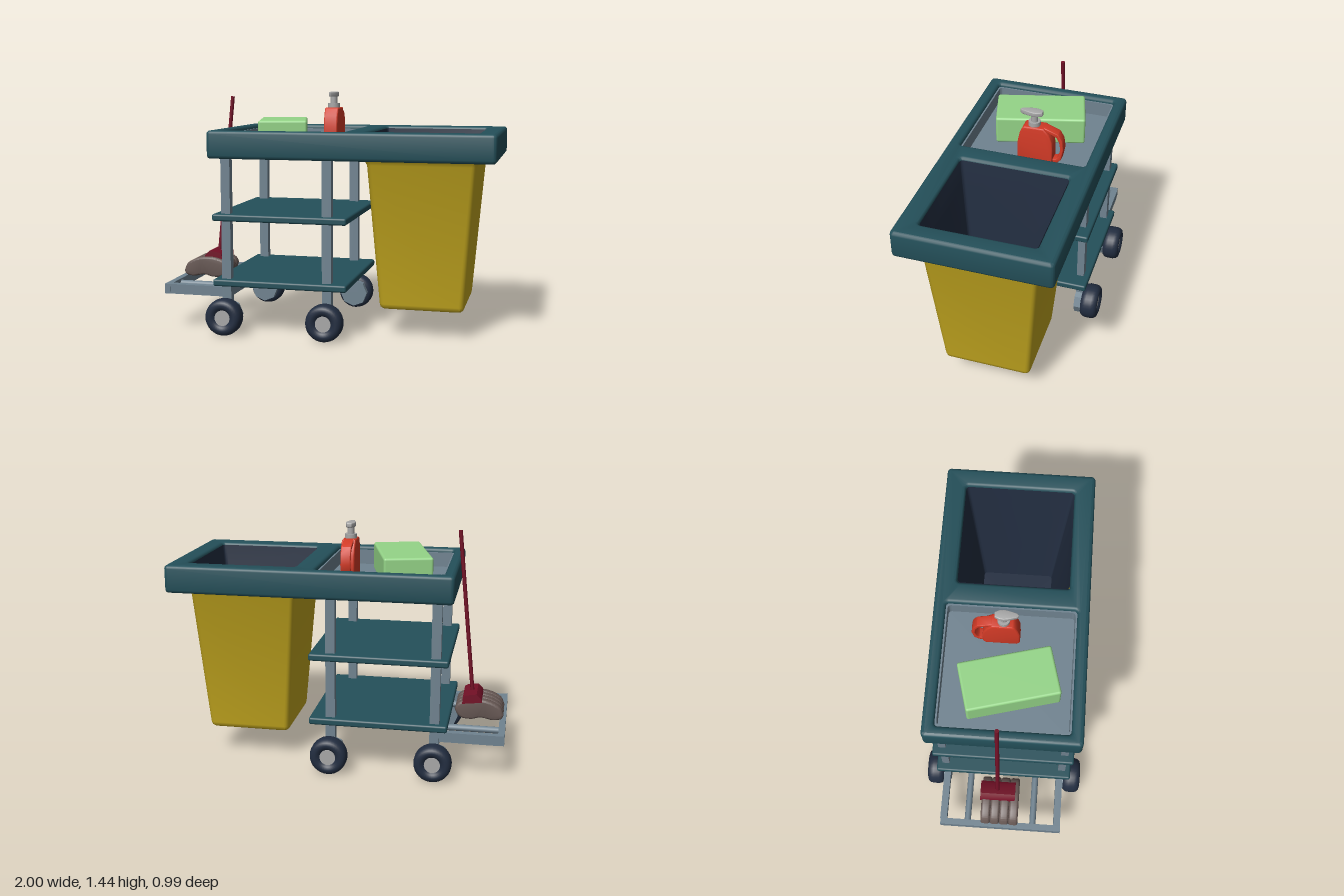
import * as THREE from 'three';
import { toCreasedNormals } from 'three/addons/utils/BufferGeometryUtils.js';
import { RoundedBoxGeometry } from 'three/addons/geometries/RoundedBoxGeometry.js';

const mat = (name, color, side = THREE.FrontSide) => {
  const m = new THREE.MeshStandardMaterial({ color, side });
  m.name = name;
  return m;
};

// Rounded rectangle outline centred on (cx, cy)
function roundRect(Type, cx, cy, w, h, r) {
  const s = new Type(), a = w / 2 - r, b = h / 2 - r;
  s.absarc(cx + a, cy + b, r, 0, Math.PI / 2);
  s.absarc(cx - a, cy + b, r, Math.PI / 2, Math.PI);
  s.absarc(cx - a, cy - b, r, Math.PI, Math.PI * 1.5);
  s.absarc(cx + a, cy - b, r, Math.PI * 1.5, Math.PI * 2);
  s.closePath();
  return s;
}

// Extrusion whose bevel stays inside the outline
function extrude(shape, depth, bevel, curveSegments = 4) {
  const g = new THREE.ExtrudeGeometry(shape, {
    depth: depth - 2 * bevel, bevelEnabled: bevel > 0, bevelSize: bevel,
    bevelThickness: bevel, bevelOffset: -bevel, bevelSegments: 3, curveSegments,
  });
  g.translate(0, 0, bevel);
  return toCreasedNormals(g, 0.7);
}
const polygon = (pts) => new THREE.Shape(pts.map((p) => new THREE.Vector2(...p)));

// Tub from stacked rounded rectangles: rows of [y, half width, half depth, corner]
function tub(rings, cx) {
  const pos = [], idx = [];
  let n = 0;
  rings.forEach(([y, hw, hd, r]) => {
    const pts = [];
    for (let q = 0; q < 4; q++) for (let k = 0; k <= 4; k++) {
      const t = (q + k / 4) * Math.PI / 2;
      const sx = q === 0 || q === 3 ? 1 : -1, sz = q < 2 ? 1 : -1;
      pts.push([cx + sx * (hw - r) + r * Math.cos(t), y, sz * (hd - r) + r * Math.sin(t)]);
    }
    n = pts.length;
    pos.push(...pts.flat());
  });
  for (let i = 0; i < rings.length - 1; i++) for (let j = 0; j < n; j++) {
    const a = i * n + j, b = i * n + (j + 1) % n;
    idx.push(a, b, a + n, b, b + n, a + n);
  }
  const last = (rings.length - 1) * n, c = rings.length * n;
  pos.push(cx, rings[rings.length - 1][0], 0);
  for (let j = 0; j < n; j++) idx.push(last + j, last + (j + 1) % n, c);
  const g = new THREE.BufferGeometry();
  g.setAttribute('position', new THREE.Float32BufferAttribute(pos, 3));
  g.setIndex(idx);
  return toCreasedNormals(g, 0.7);
}

export function createModel() {
  const teal = mat('teal plastic', 0x24505a);
  const steel = mat('steel', 0x708390);
  const yellow = mat('yellow plastic', 0xc8ab20, THREE.DoubleSide);
  const navy = mat('dark rubber', 0x222d40, THREE.DoubleSide);
  const pale = mat('pale metal', 0xa8a8a8);
  const green = mat('green sponge', 0x95d588);
  const red = mat('red plastic', 0xd23a26);
  const maroon = mat('maroon', 0x731026);
  const brown = mat('mop brown', 0x675854);

  const model = new THREE.Group();
  const add = (name, geo, material, x = 0, y = 0, z = 0, parent = model) => {
    const m = new THREE.Mesh(geo, material);
    m.name = name;
    m.position.set(x, y, z);
    parent.add(m);
    return m;
  };
  const box = (name, m, x0, x1, y0, y1, z0, z1) => add(name,
    new THREE.BoxGeometry(x1 - x0, y1 - y0, z1 - z0), m, (x0 + x1) / 2, (y0 + y1) / 2, (z0 + z1) / 2);

  // Table top with a tray recess and a bin opening
  const top = roundRect(THREE.Shape, 0.155, 0, 1.69, 0.9, 0.025);
  top.holes.push(roundRect(THREE.Path, -0.255, 0, 0.74, 0.76, 0.02));
  top.holes.push(roundRect(THREE.Path, 0.565, 0, 0.64, 0.66, 0.02));
  add('tableTop', extrude(top, 0.165, 0.02).rotateX(-Math.PI / 2), teal, 0, 1.06, 0);
  box('trayUnderside', teal, -0.64, 0.13, 1.063, 1.1, -0.39, 0.39);

  // Steel tray lining
  const lining = roundRect(THREE.Shape, -0.255, 0, 0.745, 0.765, 0.02);
  lining.holes.push(roundRect(THREE.Path, -0.255, 0, 0.72, 0.74, 0.02));
  add('trayWall', extrude(lining, 0.1, 0).rotateX(-Math.PI / 2), steel, 0, 1.1, 0);
  box('trayFloor', steel, -0.625, 0.115, 1.098, 1.11, -0.38, 0.38);

  // Waste bin and its dark inside
  add('bin', tub([
    [1.066, 0.335, 0.355, 0.03], [1.052, 0.327, 0.347, 0.03], [1.03, 0.317, 0.335, 0.03],
    [0.2, 0.251, 0.264, 0.03], [0.18, 0.246, 0.259, 0.03], [0.17, 0.234, 0.247, 0.025],
  ], 0.565), yellow);
  add('binInside', tub([
    [1.21, 0.317, 0.327, 0.02], [1.06, 0.3, 0.31, 0.02], [0.2, 0.225, 0.235, 0.02],
  ], 0.565), navy);

  // Shelves
  for (const y of [0.3125, 0.7075]) {
    add('shelf', new RoundedBoxGeometry(0.82, 0.042, 0.85, 3, 0.012), teal, -0.26, y, 0);
  }

  // Legs with axle plates and wheels
  const tyre = new THREE.LatheGeometry([
    [0, -0.055], [0.075, -0.055], [0.095, -0.05], [0.107, -0.036], [0.111, -0.018], [0.111, 0.018],
    [0.107, 0.036], [0.095, 0.05], [0.078, 0.055], [0.058, 0.05], [0.046, 0.035], [0, 0.035],
  ].map((p) => new THREE.Vector2(...p)), 32);
  tyre.rotateX(Math.PI / 2);
  const tyreGeo = toCreasedNormals(tyre, 0.7);
  const hubGeo = new THREE.CylinderGeometry(0.047, 0.047, 0.012, 24).rotateX(Math.PI / 2);
  const plateGeo = new THREE.CylinderGeometry(0.088, 0.088, 0.045, 8).rotateX(Math.PI / 2).toNonIndexed();
  plateGeo.computeVertexNormals();
  for (const x of [-0.594, 0.025]) for (const s of [1, -1]) {
    box('leg', steel, x - 0.028, x + 0.028, 0.12, 1.07, s * 0.3675 - 0.0225, s * 0.3675 + 0.0225);
    add('axlePlate', plateGeo, steel, x, 0.115, s * 0.3675);
    const wheel = new THREE.Group();
    wheel.name = 'wheel';
    wheel.position.set(x, 0.112, s * 0.44);
    if (s < 0) wheel.rotation.y = Math.PI;
    add('tyre', tyreGeo, navy, 0, 0, 0, wheel);
    add('hub', hubGeo, pale, 0, 0, 0.036, wheel);
    model.add(wheel);
  }

  // Mop platform
  box('platformEnd', steel, -1, -0.962, 0.22, 0.28, -0.375, 0.38);
  box('platformCrossbar', steel, -0.615, -0.575, 0.22, 0.28, -0.36, 0.36);
  for (const s of [1, -1]) {
    box('platformSide', steel, -0.965, -0.58, 0.22, 0.28, s * 0.357 - 0.021, s * 0.357 + 0.021);
    add('platformBar', new THREE.CylinderGeometry(0.02, 0.02, 0.38, 12).rotateZ(Math.PI / 2),
      steel, -0.78, 0.25, s * 0.205);
  }

  // Mop: strands, head block and leaning handle
  const strand = new THREE.Shape();
  strand.moveTo(-0.985, 0.31);
  strand.splineThru([[-0.96, 0.36], [-0.89, 0.395], [-0.8, 0.402], [-0.72, 0.38], [-0.693, 0.335],
    [-0.725, 0.285], [-0.79, 0.275], [-0.85, 0.288], [-0.92, 0.276], [-0.97, 0.285],
    [-0.985, 0.31]].map((p) => new THREE.Vector2(...p)));
  const strandGeo = extrude(strand, 0.058, 0.014, 24);
  for (let i = 0; i < 4; i++) add('mopStrand', strandGeo, brown, 0, 0, -0.122 + i * 0.058);
  add('mopHead', extrude(polygon([[-0.855, 0.39], [-0.735, 0.375], [-0.738, 0.418], [-0.755, 0.43],
    [-0.82, 0.44], [-0.848, 0.413]]), 0.215, 0), maroon, 0, 0, -0.13);
  const handle = add('mopHandle', new THREE.CylinderGeometry(0.012, 0.012, 1.0, 12), maroon, -0.738, 0.917, -0.025);
  handle.rotation.z = -Math.atan2(0.105, 0.995);

  // Sponge
  const sponge = add('sponge', new RoundedBoxGeometry(0.29, 0.17, 0.54, 3, 0.014), green, -0.34, 1.195, 0.015);
  sponge.rotation.y = 0.262;

  // Soap bottle, its profile running along z
  const side = (name, pts, width, bevel) => add(name,
    extrude(polygon(pts), width, bevel).translate(0, 0, -width / 2).rotateY(-Math.PI / 2), red, -0.033);
  side('bottleBody', [[0.042, 1.11], [0.06, 1.135], [0.058, 1.24], [0.046, 1.3], [0.028, 1.342], [0.015, 1.35],
    [-0.1, 1.35], [-0.13, 1.315], [-0.15, 1.265], [-0.155, 1.21], [-0.155, 1.135], [-0.14, 1.11]], 0.085, 0.008);
  side('bottleHandle', [[-0.09, 1.35], [-0.11, 1.35], [-0.185, 1.322], [-0.21, 1.28], [-0.218, 1.22], [-0.205, 1.15],
    [-0.18, 1.125], [-0.14, 1.12], [-0.14, 1.145], [-0.175, 1.152], [-0.19, 1.17], [-0.2, 1.22],
    [-0.192, 1.27], [-0.175, 1.3], [-0.13, 1.318], [-0.09, 1.318]], 0.06, 0.004);

  // Pump: collar, stem and a pointed nozzle head
  add('pumpCollar', new THREE.CylinderGeometry(0.036, 0.036, 0.028, 20), pale, -0.033, 1.362, -0.035);
  add('pumpStem', new THREE.CylinderGeometry(0.021, 0.021, 0.05, 16), pale, -0.033, 1.398, -0.035);
  const nozzle = polygon([[0, -0.05], [0.012, -0.04], [0.026, 0.01], [0.03, 0.035], [0.026, 0.06], [0.014, 0.085],
    [-0.014, 0.085], [-0.026, 0.06], [-0.03, 0.035], [-0.026, 0.01], [-0.012, -0.04]]);
  add('pumpNozzle', extrude(nozzle, 0.028, 0.004).rotateX(-Math.PI / 2), pale, -0.033, 1.417, 0);

  return model;
}
